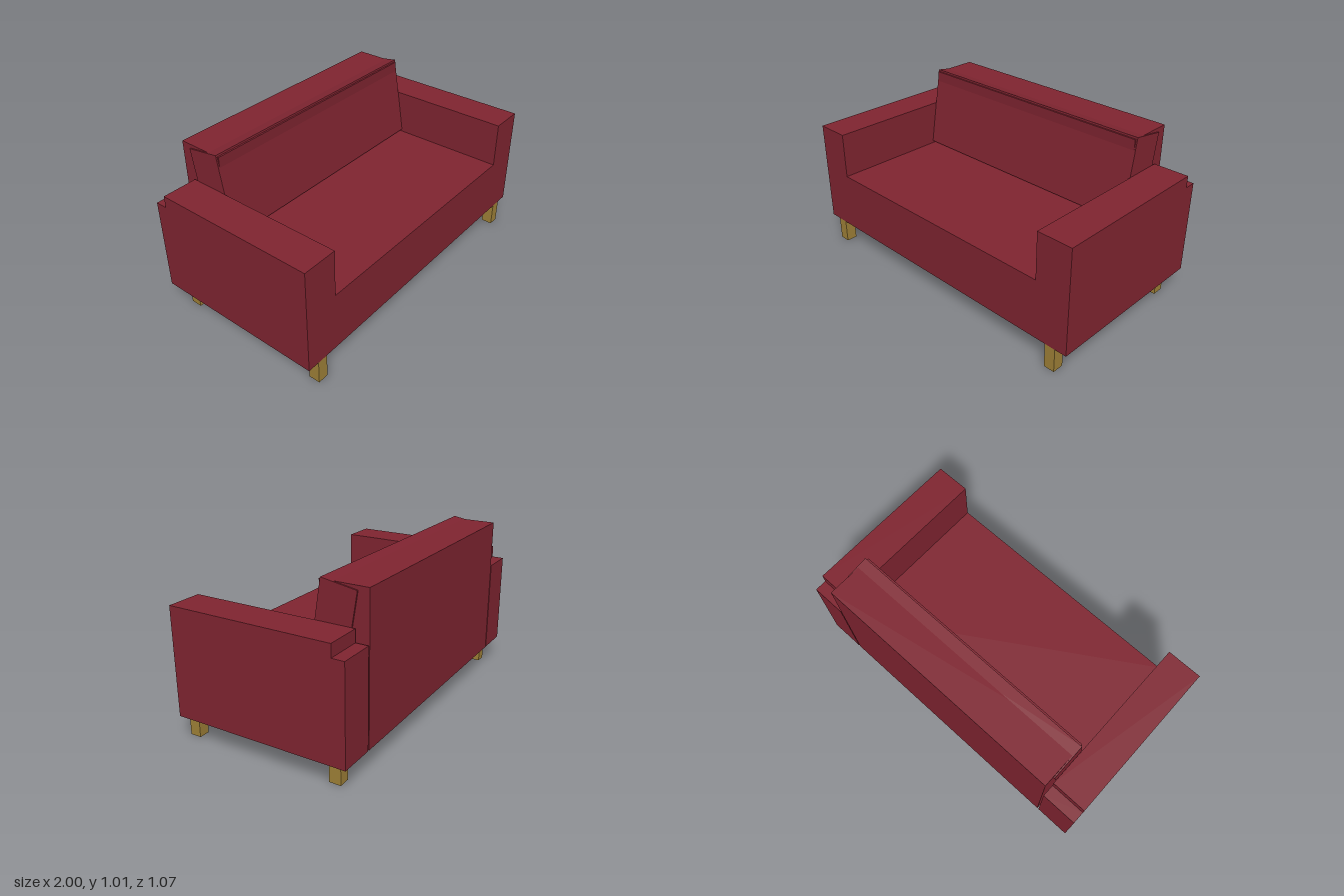
import * as THREE from 'three';

export function createModel() {
  const sofa = new THREE.Group();
  sofa.name = 'sofa';

  const red = new THREE.MeshStandardMaterial({ color: 0x7f2430 });
  red.name = 'red fabric';
  const wood = new THREE.MeshStandardMaterial({ color: 0x9e8037 });
  wood.name = 'golden wood';

  // Box given by its lower and upper limits on each axis
  function block(name, material, [x0, x1], [y0, y1], [z0, z1]) {
    const mesh = new THREE.Mesh(new THREE.BoxGeometry(x1 - x0, y1 - y0, z1 - z0), material);
    mesh.position.set((x0 + x1) / 2, (y0 + y1) / 2, (z0 + z1) / 2);
    mesh.name = name;
    sofa.add(mesh);
    return mesh;
  }

  const bottom = 0.147, front = 0.533, back = -0.533, step = -0.46, inner = 0.787;

  // Seat and upright back
  block('seat', red, [-inner, inner], [bottom, 0.505], [step, front]);
  block('backPanel', red, [-0.778, 0.778], [bottom, 1.0], [back, -0.25]);

  // Leaning back cushion
  const cushion = new THREE.Mesh(new THREE.BoxGeometry(2 * inner - 0.002, 0.497, 0.21), red);
  cushion.position.set(0, 0.7485, -0.3255);
  cushion.rotation.x = -0.163;
  cushion.name = 'backCushion';
  sofa.add(cushion);

  // Armrests with a lower rear block, and legs, mirrored on both sides
  for (const [side, s] of [['left', 1], ['right', -1]]) {
    const span = (a, b) => (s > 0 ? [a, b] : [-b, -a]);
    block(side + 'Armrest', red, span(inner, 1), [bottom, 0.787], [step, front]);
    block(side + 'ArmrestRear', red, span(inner, 1), [bottom, 0.715], [back, step]);
    block(side + 'FrontLeg', wood, span(0.862, 0.928), [0, bottom], [0.465, front]);
    block(side + 'BackLeg', wood, span(0.862, 0.928), [0, bottom], [step, -0.39]);
  }

  return sofa;
}
